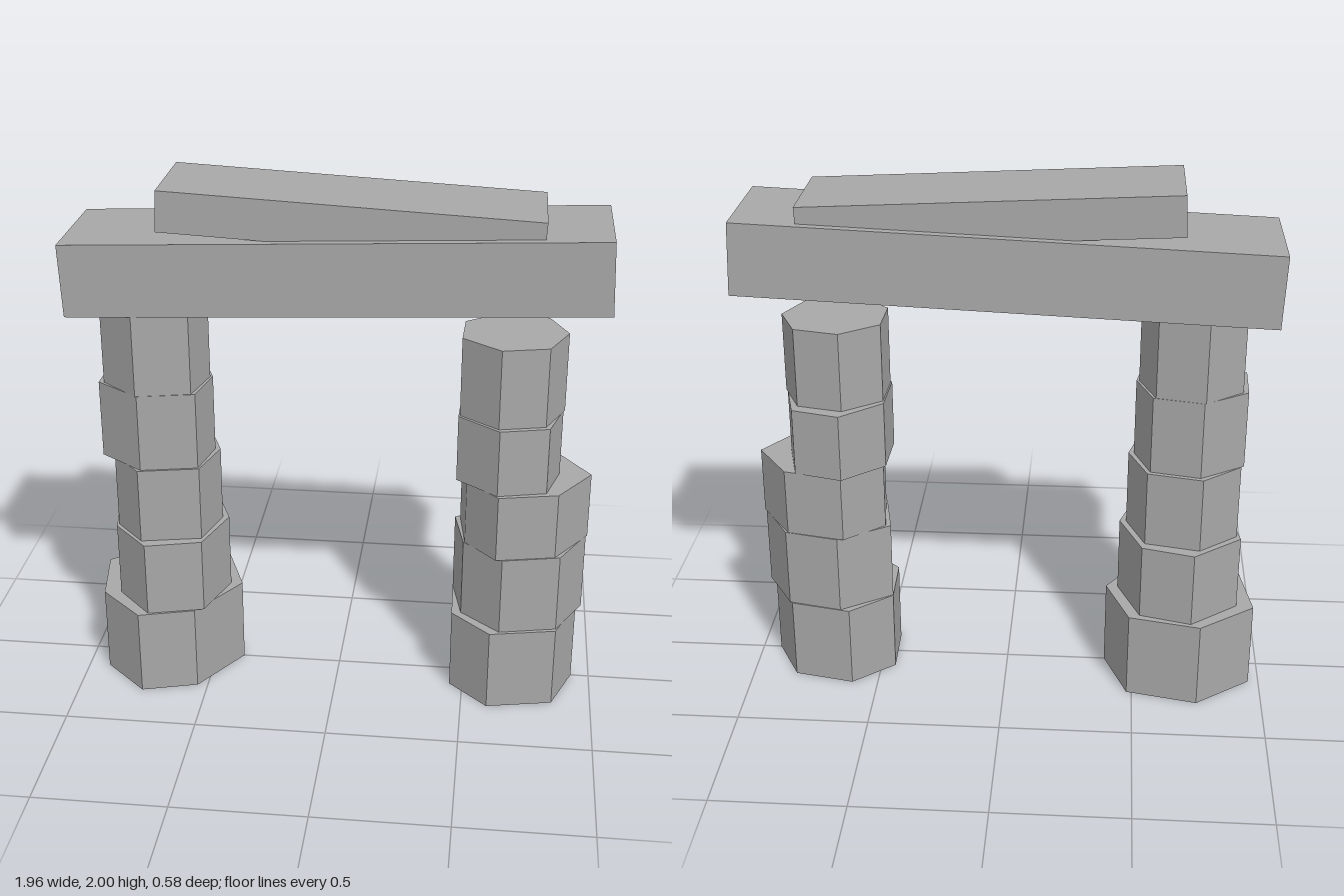
import * as THREE from 'three';

// One drum per row: bottom, top, x of the five left-to-right corners going round the front
// (right tip, right front, front, left front, left back), front depth, back depth, x of right back
const LEFT_DRUMS = [
  [0, 0.34, -0.39, -0.54, -0.75, -0.92, -0.96, 0.29, 0.29, -0.48],
  [0.34, 0.635, -0.435, -0.505, -0.715, -0.855, -0.895, 0.27, 0.265, -0.52],
  [0.635, 0.93, -0.46, -0.51, -0.735, -0.85, -0.88, 0.23, 0.22, -0.53],
  [0.93, 1.23, -0.48, -0.515, -0.725, -0.895, -0.89, 0.22, 0.2, -0.54],
  [1.23, 1.55, -0.49, -0.53, -0.73, -0.875, -0.87, 0.22, 0.2, -0.55],
];
const RIGHT_DRUMS = [
  [0, 0.325, 0.93, 0.85, 0.6, 0.45, 0.445, 0.255, 0.235, 0.83],
  [0.325, 0.635, 0.95, 0.85, 0.635, 0.485, 0.445, 0.235, 0.225, 0.84],
  [0.635, 0.895, 0.955, 0.83, 0.61, 0.49, 0.465, 0.235, 0.225, 0.83],
  [0.895, 1.155, 0.835, 0.785, 0.605, 0.45, 0.455, 0.22, 0.24, 0.785],
  [1.155, 1.46, 0.84, 0.77, 0.6, 0.455, 0.46, 0.2, 0.19, 0.77],
];

// Irregular seven-sided stone drum
function drumGeometry([y0, y1, tip, rightFront, front, leftFront, leftBack, zf, zb, rightBack]) {
  const shape = new THREE.Shape([
    [tip, 0], [rightFront, 0.8 * zf], [front, zf], [leftFront, 0.445 * zf],
    [leftBack, -0.445 * zb], [front, -zb], [rightBack, -0.8 * zb],
  ].map(([x, z]) => new THREE.Vector2(x, -z)));
  const geo = new THREE.ExtrudeGeometry(shape, { depth: y1 - y0, bevelEnabled: false });
  return geo.rotateX(-Math.PI / 2).translate(0, y0, 0);
}

export function createModel() {
  const stone = new THREE.MeshStandardMaterial({ color: 0xa8a8a8 });
  stone.name = 'grey stone';
  stone.flatShading = true;
  const model = new THREE.Group();
  model.name = 'ruinedGateway';

  // Two stacked columns
  for (const [name, drums] of [['leftmostColumn', LEFT_DRUMS], ['rightmostColumn', RIGHT_DRUMS]]) {
    const column = new THREE.Group();
    column.name = name;
    drums.forEach((d, i) => {
      const drum = new THREE.Mesh(drumGeometry(d), stone);
      drum.name = `drum${i + 1}`;
      column.add(drum);
    });
    model.add(column);
  }

  // Tilted slabs across the top
  const slab = (name, size, x, y, tilt) => {
    const mesh = new THREE.Mesh(new THREE.BoxGeometry(...size), stone);
    mesh.name = name;
    mesh.position.set(x, y, 0);
    mesh.rotation.z = tilt;
    model.add(mesh);
  };
  slab('lintel', [1.952, 0.27, 0.44], -0.003, 1.705, 0.041);
  slab('capSlab', [1.362, 0.15, 0.376], 0.051, 1.89, -0.0515);

  return model;
}
